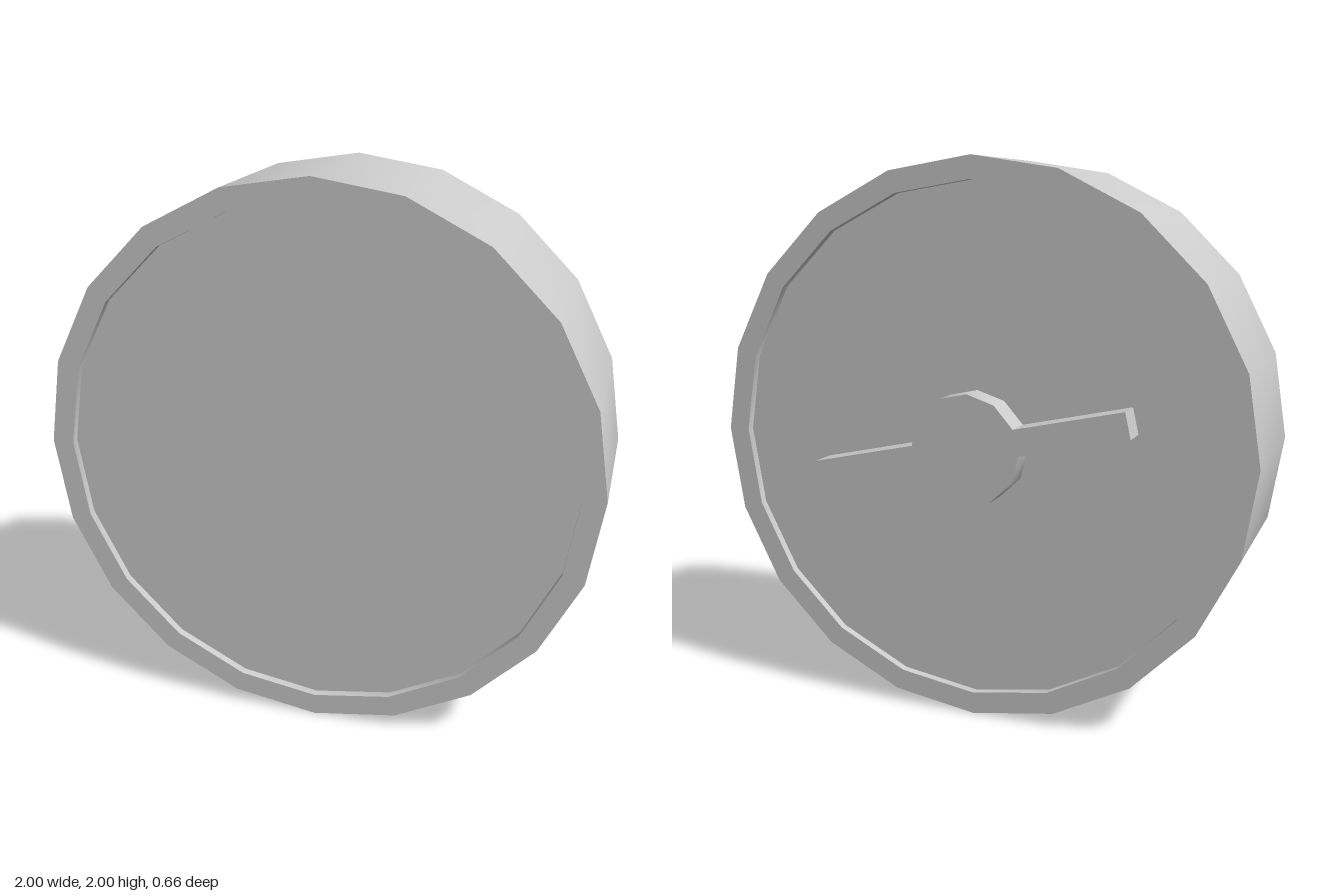
import * as THREE from 'three';
import { toCreasedNormals } from 'three/addons/utils/BufferGeometryUtils.js';

const SIDES = 20;
const FRONT = 0.33, BACK = -0.26, RECESS = 0.03;
const OUTER = 1, INNER = 0.92;

export function createModel() {
  const model = new THREE.Group();
  model.name = 'drum';
  const material = new THREE.MeshStandardMaterial({ color: 0xcccccc });

  const add = (name, geometry) => {
    const mesh = new THREE.Mesh(geometry, material);
    mesh.name = name;
    mesh.position.y = 1;
    model.add(mesh);
    return mesh;
  };

  // Outer wall with a raised lip at each end
  const profile = [
    [INNER, BACK + RECESS], [INNER, BACK], [OUTER, BACK],
    [OUTER, FRONT], [INNER, FRONT], [INNER, FRONT - RECESS],
  ].map(([r, z]) => new THREE.Vector2(r, z));
  const rim = new THREE.LatheGeometry(profile, SIDES).rotateX(Math.PI / 2);
  add('rim', toCreasedNormals(rim, 0.6));

  // Recessed end panels
  add('frontPanel', new THREE.CircleGeometry(INNER, SIDES)).position.z = FRONT - RECESS;
  const backPanel = add('backPanel', new THREE.CircleGeometry(INNER, SIDES));
  backPanel.position.z = BACK + RECESS;
  backPanel.rotation.y = Math.PI;

  // Tilted turn key: round hub with an arm on each side, as one outline
  const hubRadius = 0.2, halfWidth = 0.047, reach = 0.594, steps = 5;
  const start = Math.asin(halfWidth / hubRadius);
  const outline = [];
  for (const s of [1, -1]) {
    outline.push(new THREE.Vector2(s * reach, -s * halfWidth), new THREE.Vector2(s * reach, s * halfWidth));
    for (let i = 0; i <= steps; i++) {
      const a = start + (Math.PI - 2 * start) * i / steps;
      outline.push(new THREE.Vector2(s * hubRadius * Math.cos(a), s * hubRadius * Math.sin(a)));
    }
  }
  const key = new THREE.ExtrudeGeometry(new THREE.Shape(outline), { depth: 0.1, bevelEnabled: false });
  const turnKey = add('turnKey', toCreasedNormals(key, 0.6));
  turnKey.position.z = -0.33;
  turnKey.rotation.z = THREE.MathUtils.degToRad(-12.5);

  return model;
}
